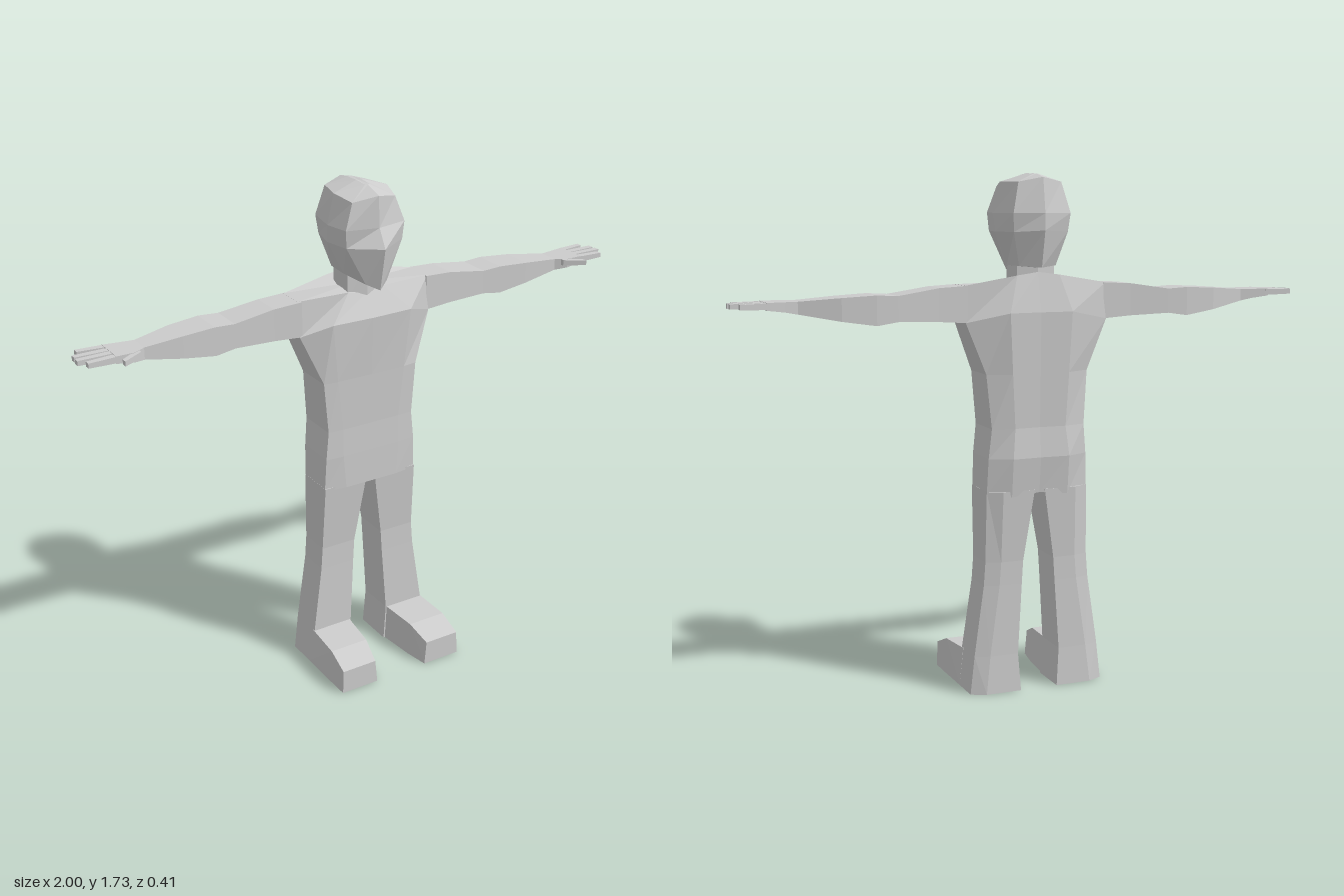
import * as THREE from 'three';

// Skin a list of rings (each a list of [x,y,z]) with flat facets and fanned end caps, facing outward.
function loft(rings) {
  const tris = [];
  const n = rings[0].length;
  for (let i = 0; i < rings.length - 1; i++) {
    for (let j = 0; j < n; j++) {
      const k = (j + 1) % n;
      const a = rings[i][j], b = rings[i][k], c = rings[i + 1][k], d = rings[i + 1][j];
      tris.push([a, b, c], [a, c, d]);
    }
  }
  const cap = (ring, flip) => {
    const mid = [0, 1, 2].map(q => ring.reduce((s, p) => s + p[q], 0) / n);
    ring.forEach((p, j) => {
      const next = ring[(j + 1) % n];
      tris.push(flip ? [mid, next, p] : [mid, p, next]);
    });
  };
  cap(rings[0], true);
  cap(rings[rings.length - 1], false);
  // signed volume tells whether the skin is inside out
  const vec = p => new THREE.Vector3(...p);
  const volume = tris.reduce((s, [a, b, c]) => s + vec(a).dot(vec(b).cross(vec(c))), 0);
  if (volume < 0) tris.forEach(t => t.reverse());
  const geo = new THREE.BufferGeometry();
  geo.setAttribute('position', new THREE.Float32BufferAttribute(tris.flat(2), 3));
  geo.computeVertexNormals();
  return geo;
}

// Complete a half ring that runs from front centre to back centre.
const whole = half => [...half, ...half.slice(1, -1).reverse().map(([x, y, z]) => [-x, y, z])];

// Rectangle across x: bottom, top, front and back extents.
const armRing = ([x, y0, y1, zf, zb]) => [[x, y0, zf], [x, y1, zf], [x, y1, zb], [x, y0, zb]];

export function createModel() {
  const model = new THREE.Group();
  const grey = new THREE.MeshStandardMaterial({ color: 0xcccccc });
  grey.name = 'light grey';

  const add = (name, rings, parent = model) => {
    const mesh = new THREE.Mesh(loft(rings), grey);
    mesh.name = name;
    parent.add(mesh);
  };

  // Torso: front centre, chest, front side, back side, shoulder blade, spine
  add('torso', [
    [[0, 0.68, 0.005], [0.1, 0.68, 0.005], [0.18, 0.68, -0.005], [0.18, 0.68, -0.14], [0.1, 0.67, -0.165], [0, 0.68, -0.16]],
    [[0, 0.8, 0.005], [0.11, 0.8, 0.005], [0.175, 0.8, 0], [0.175, 0.8, -0.145], [0.1, 0.8, -0.18], [0, 0.8, -0.175]],
    [[0, 0.9, 0.003], [0.11, 0.9, 0.003], [0.165, 0.9, 0], [0.165, 0.9, -0.15], [0.09, 0.9, -0.17], [0, 0.9, -0.165]],
    [[0, 1.08, 0.008], [0.13, 1.08, 0.006], [0.18, 1.08, 0], [0.18, 1.08, -0.14], [0.1, 1.08, -0.175], [0, 1.08, -0.17]],
    [[0, 1.285, 0.02], [0.15, 1.285, 0.015], [0.25, 1.25, -0.03], [0.25, 1.25, -0.14], [0.11, 1.28, -0.18], [0, 1.28, -0.175]],
    [[0, 1.36, -0.025], [0.065, 1.37, -0.03], [0.25, 1.37, -0.04], [0.25, 1.37, -0.135], [0.075, 1.4, -0.15], [0, 1.41, -0.148]],
  ].map(whole));

  // Neck
  add('neck', [[1.34, 0.068], [1.47, 0.065]].map(([y, w]) =>
    whole([[0, y, -0.02], [w, y, -0.035], [w, y, -0.125], [0, y, -0.145]])));

  // Head: face ridge, cheek, temple, rear side, back ridge
  add('head', [
    [[0, 1.392, 0.06], [0.04, 1.412, 0.035], [0.072, 1.43, -0.05], [0.065, 1.43, -0.14], [0, 1.425, -0.178]],
    [[0, 1.537, 0.09], [0.105, 1.54, 0.025], [0.12, 1.54, -0.07], [0.095, 1.54, -0.17], [0, 1.545, -0.205]],
    [[0, 1.6, 0.055], [0.11, 1.6, 0.03], [0.125, 1.6, -0.06], [0.1, 1.6, -0.18], [0, 1.6, -0.205]],
    [[0, 1.703, 0.05], [0.08, 1.685, 0.02], [0.1, 1.7, -0.06], [0.075, 1.7, -0.16], [0, 1.715, -0.187]],
    [[0, 1.724, -0.015], [0.008, 1.724, -0.02], [0.01, 1.728, -0.07], [0.008, 1.726, -0.125], [0, 1.726, -0.13]],
  ].map(whole));

  for (const [side, s] of [['left', 1], ['right', -1]]) {
    const mirror = rings => rings.map(r => r.map(([x, y, z]) => [s * x, y, z]));

    // Arm, tapering to a flat palm
    const arm = new THREE.Group();
    arm.name = side + 'Arm';
    model.add(arm);
    add(side + 'ArmSleeve', mirror([
      [0.24, 1.25, 1.37, -0.03, -0.14],
      [0.34, 1.257, 1.365, -0.032, -0.142],
      [0.48, 1.262, 1.344, -0.032, -0.15],
      [0.55, 1.252, 1.348, -0.03, -0.152],
      [0.66, 1.268, 1.342, -0.028, -0.14],
      [0.79, 1.292, 1.332, -0.03, -0.104],
    ].map(armRing)), arm);
    add(side + 'Palm', mirror([
      [0.79, 1.292, 1.332, -0.03, -0.104],
      [0.83, 1.3, 1.332, -0.008, -0.11],
      [0.89, 1.308, 1.332, -0.008, -0.12],
    ].map(armRing)), arm);

    // Fingers and thumb: root x, root z, tip x, tip z
    [
      [0.88, -0.108, 0.975, -0.122],
      [0.88, -0.078, 0.998, -0.083],
      [0.88, -0.05, 1.0, -0.052],
      [0.88, -0.02, 0.98, -0.016],
      [0.81, -0.018, 0.88, 0.026],
    ].forEach(([x0, z0, x1, z1], i) => {
      add(side + (i < 4 ? 'Finger' + (i + 1) : 'Thumb'), mirror([
        [x0, 1.31, 1.331, z0 + 0.012, z0 - 0.012],
        [x1, 1.313, 1.329, z1 + 0.01, z1 - 0.01],
      ].map(armRing)), arm);
    });

    // Leg: height, inner x, outer x, front z, chamfer z, back z
    add(side + 'Leg', mirror([
      [0.69, 0.018, 0.18, 0, -0.14, -0.165],
      [0.45, 0.055, 0.184, -0.02, -0.135, -0.152],
      [0.37, 0.06, 0.19, -0.02, -0.135, -0.152],
      [0.13, 0.075, 0.225, -0.015, -0.137, -0.155],
      [0, 0.066, 0.24, -0.015, -0.137, -0.16],
    ].map(([y, a, b, zf, zc, zb]) =>
      [[a, y, zf], [b, y, zf], [b, y, zc], [b - 0.05, y, zb], [a, y, zb]])), );

    // Foot: z, inner x, outer x, outer x at the top, top height
    add(side + 'Foot', mirror([
      [-0.03, 0.07, 0.24, 0.226, 0.13],
      [0.12, 0.085, 0.241, 0.234, 0.122],
      [0.205, 0.1, 0.24, 0.237, 0.086],
    ].map(([z, a, b, t, h]) => [[a, 0, z], [b, 0, z], [t, h, z], [a + 0.008, h, z]])));
  }
  return model;
}
